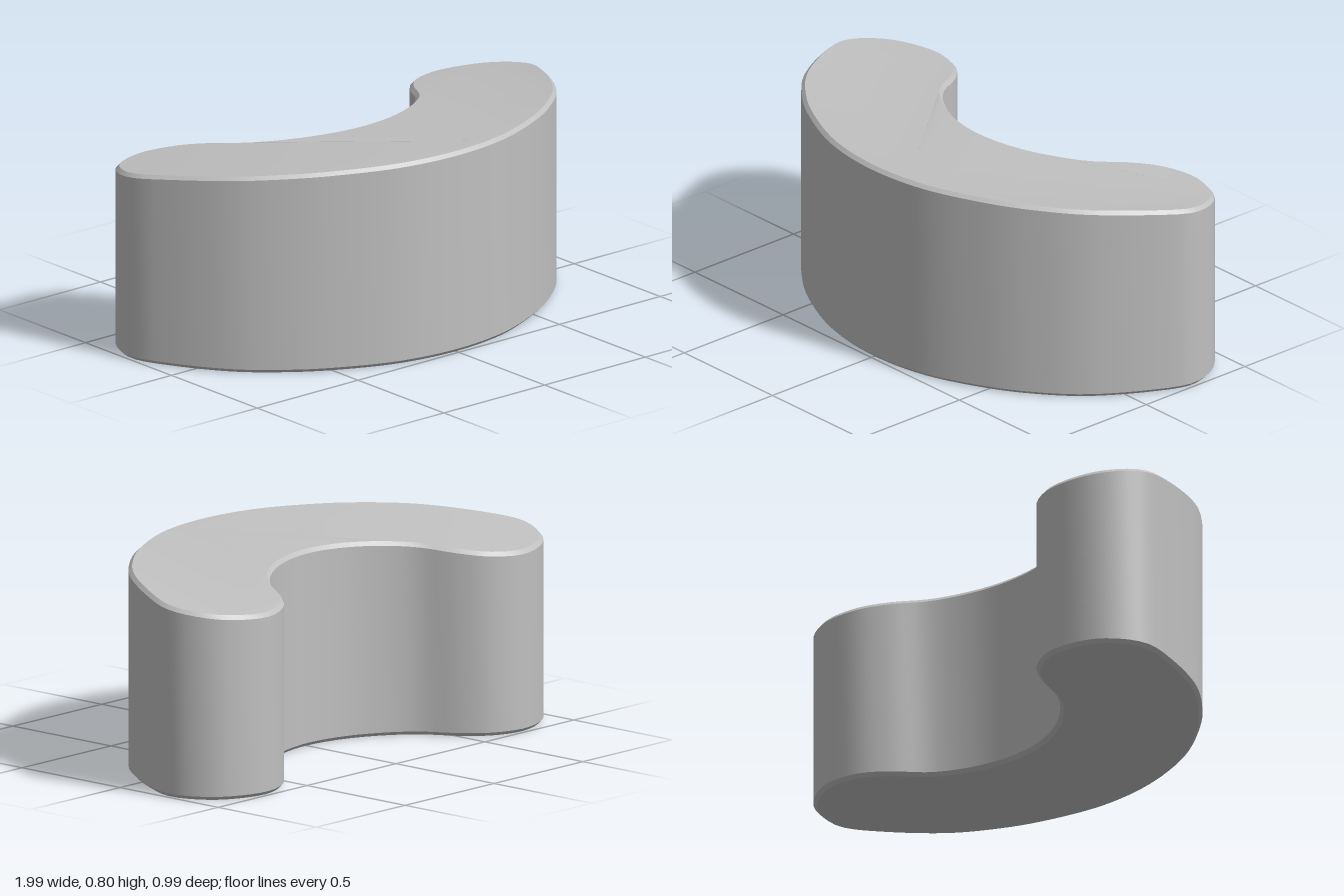
import * as THREE from 'three';
import { toCreasedNormals } from 'three/addons/utils/BufferGeometryUtils.js';

const HEIGHT = 0.8;
const BEVEL = 0.014;

// Half of the kidney-shaped plan (x, z), from the front centre round to the inner centre
const HALF = [
  [0, 0.497], [0.26, 0.463], [0.505, 0.36], [0.64, 0.275], [0.8, 0.132], [0.94, -0.085], [0.998, -0.235],
  [0.975, -0.34], [0.9, -0.435], [0.73, -0.497], [0.585, -0.455], [0.5, -0.37],
  [0.405, -0.225], [0.22, -0.103], [0, -0.057],
];

// Top falls gently towards the back
const drop = (z) => {
  const t = 0.5 - z;
  return 0.031 * t + 0.066 * t * t;
};

export function createModel() {
  const grey = new THREE.MeshStandardMaterial({ color: 0xc0c0c0 });
  grey.name = 'light grey';

  // Mirrored closed outline
  const mirrored = HALF.slice(1, -1).reverse().map(([x, z]) => [-x, z]);
  const outline = new THREE.CatmullRomCurve3(
    [...HALF, ...mirrored].map(([x, z]) => new THREE.Vector3(x, z, 0)), true, 'centripetal');
  const plan = new THREE.Shape(
    outline.getSpacedPoints(120).slice(0, -1).map((p) => new THREE.Vector2(p.x, p.y)));

  // Upright block with small chamfers at top and bottom
  const block = new THREE.ExtrudeGeometry(plan, {
    depth: HEIGHT - 2 * BEVEL, bevelThickness: BEVEL, bevelSize: BEVEL,
    bevelOffset: -BEVEL, bevelSegments: 1,
  });
  block.rotateX(Math.PI / 2);
  block.translate(0, HEIGHT - BEVEL, 0);

  // Slope the top
  const pos = block.attributes.position;
  for (let i = 0; i < pos.count; i++) {
    if (pos.getY(i) > HEIGHT / 2) pos.setY(i, pos.getY(i) - drop(pos.getZ(i)));
  }

  const body = new THREE.Mesh(toCreasedNormals(block, Math.PI / 6), grey);
  body.name = 'curvedBlock';
  const model = new THREE.Group();
  model.name = 'curvedBench';
  model.add(body);
  return model;
}
